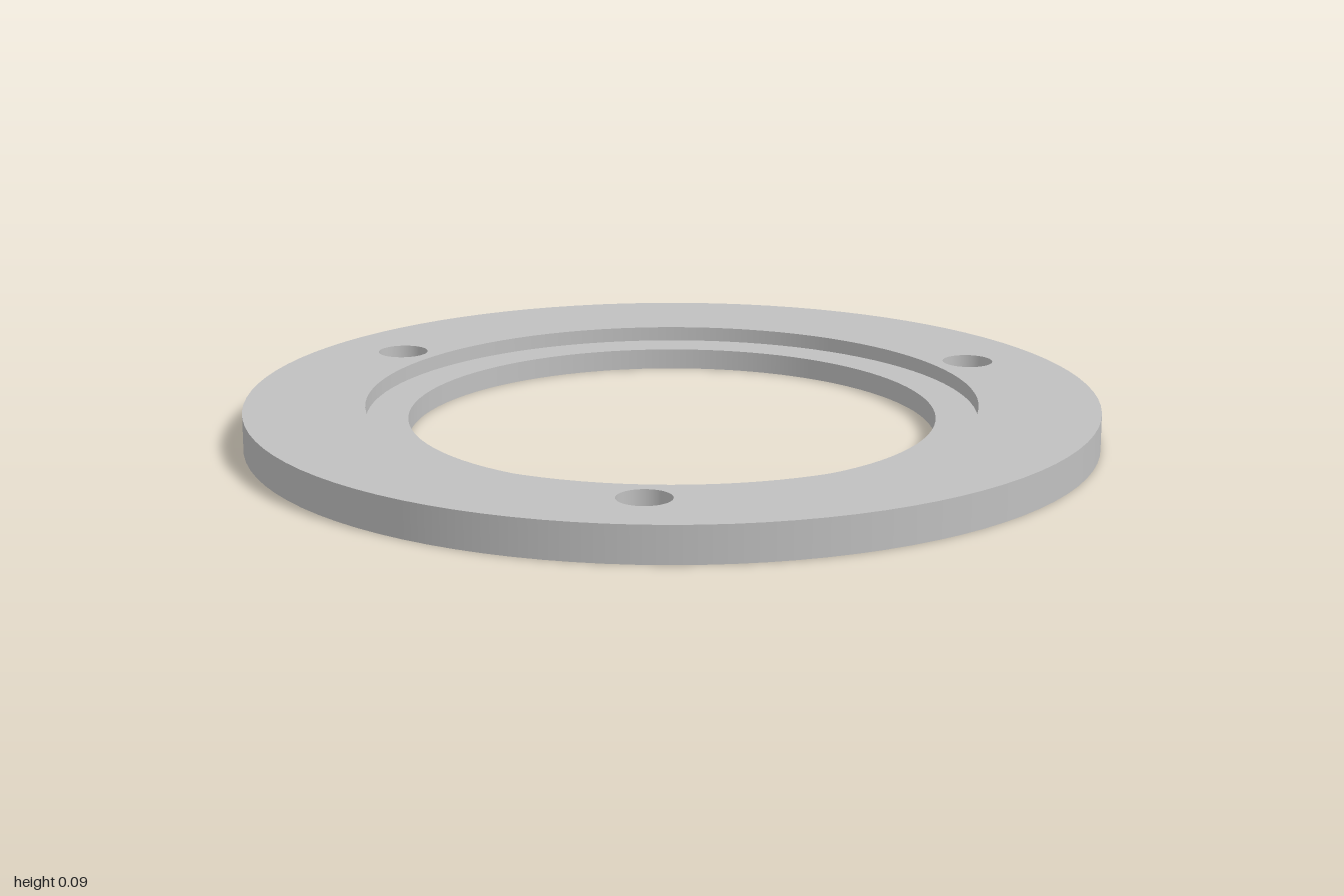
import * as THREE from 'three';

const SEGMENTS = 96;
const HEIGHT = 0.085, FLOOR = 0.05;
const OUTER = 1, RECESS = 0.717, BORE = 0.618;
const HOLE = 0.061, HOLE_CIRCLE = 0.812;

export function createModel() {
  const group = new THREE.Group();
  group.name = 'flangeRing';
  const metal = new THREE.MeshStandardMaterial({ color: 0xc0c0c0 });
  metal.name = 'grey metal';

  const add = (name, geometry) => {
    const mesh = new THREE.Mesh(geometry, metal);
    mesh.name = name;
    group.add(mesh);
    return mesh;
  };

  // Revolved band: upward faces out, downward faces in, inward faces up
  const band = (name, r1, y1, r2, y2) => add(name, new THREE.LatheGeometry(
    [new THREE.Vector2(r1, y1), new THREE.Vector2(r2, y2)], SEGMENTS));

  // Three bolt hole centres as (x, z), the first at the front
  const holes = [0, 1, 2].map((i) => {
    const a = Math.PI / 2 + (i * Math.PI * 2) / 3;
    return new THREE.Vector2(HOLE_CIRCLE * Math.cos(a), HOLE_CIRCLE * Math.sin(a));
  });

  // Flat annulus pierced by the bolt holes; side is +1 facing up, -1 facing down
  const plate = (name, inner, y, side) => {
    const shape = new THREE.Shape().absarc(0, 0, OUTER, 0, Math.PI * 2);
    shape.holes.push(new THREE.Path().absarc(0, 0, inner, 0, Math.PI * 2, true));
    for (const c of holes) {
      shape.holes.push(new THREE.Path().absarc(c.x, -side * c.y, HOLE, 0, Math.PI * 2, true));
    }
    const geometry = new THREE.ShapeGeometry(shape, SEGMENTS / 2);
    geometry.rotateX(-side * Math.PI / 2);
    geometry.translate(0, y, 0);
    add(name, geometry);
  };

  // Flat faces
  plate('topFace', RECESS, HEIGHT, 1);
  plate('bottomFace', BORE, 0, -1);

  // Rim, stepped recess and centre bore
  band('outerRim', OUTER, 0, OUTER, HEIGHT);
  band('recessWall', RECESS, HEIGHT, RECESS, FLOOR);
  band('recessFloor', RECESS, FLOOR, BORE, FLOOR);
  band('boreWall', BORE, FLOOR, BORE, 0);

  // Bolt hole walls
  for (const c of holes) {
    band('boltHoleWall', HOLE, HEIGHT, HOLE, 0).position.set(c.x, 0, c.y);
  }
  return group;
}
